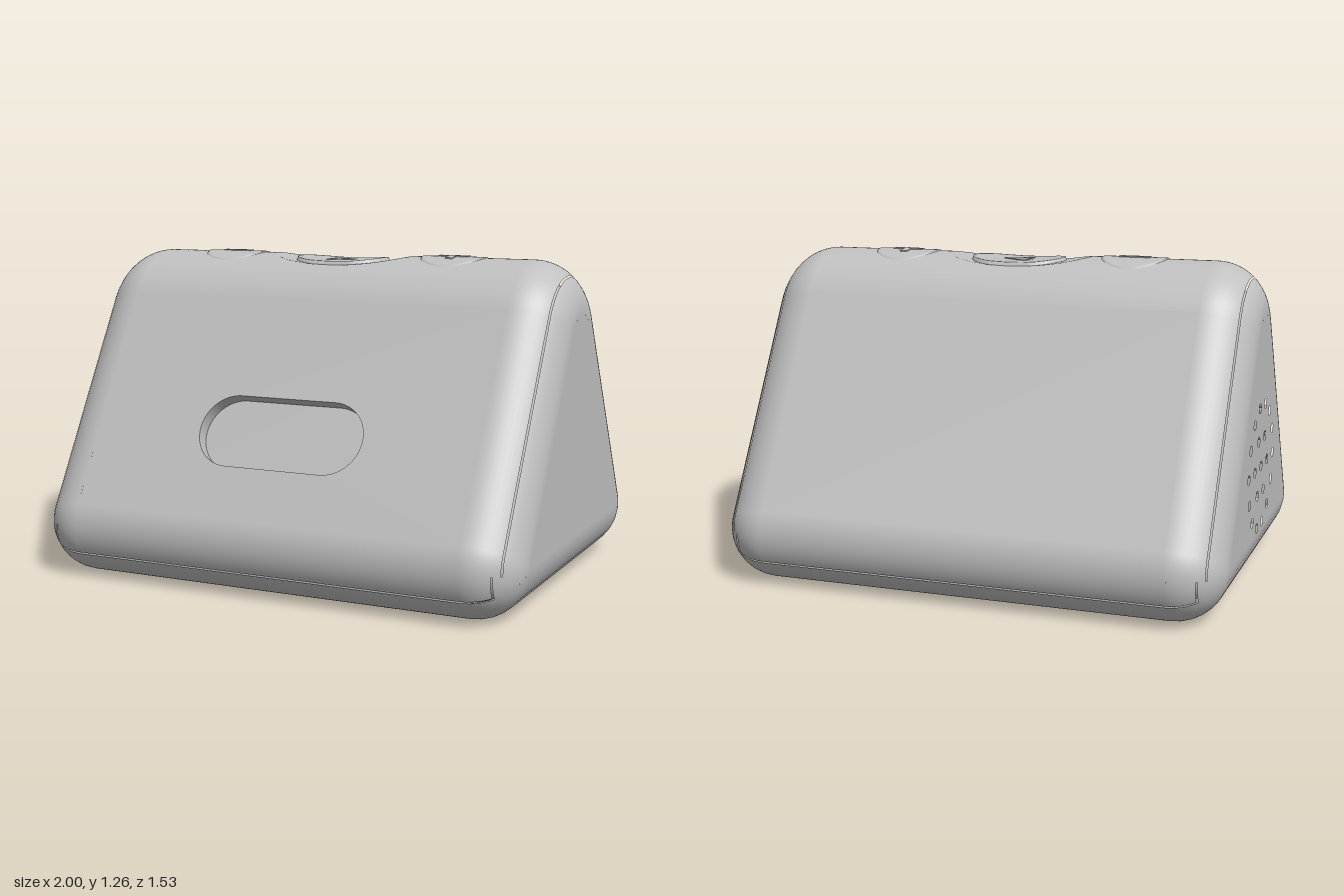
import * as THREE from 'three';

const F = 0.2;            // fillet radius around the two ends
const X0 = 0.8;           // half length before the fillet starts
const DEG = Math.PI / 180;
const corners = {         // rounded triangle profile in z, y
  top: { z: 0, y: 0.932, r: 0.323 },
  front: { z: 0.565, y: 0.2, r: 0.2 },
  back: { z: -0.565, y: 0.2, r: 0.2 },
};

// Profile samples on one corner; the angle runs from straight up towards the front
function arc(name, a, b, n = 16) {
  const c = corners[name], out = [];
  for (let i = 0; i <= n; i++) {
    const t = (a + (b - a) * i / n) * DEG;
    const nz = Math.sin(t), ny = Math.cos(t);
    out.push({ z: c.z + (c.r - F) * nz, y: c.y + (c.r - F) * ny, nz, ny });
  }
  return out;
}
const wholeProfile = () => [...arc('top', -60, 60), ...arc('front', 60, 180), ...arc('back', 180, 300), arc('top', -60, 60)[0]];

// Columns along x: one end fillet, or the whole length
function endCols(side, a, b, n = 8) {
  const out = [];
  for (let i = 0; i <= n; i++) out.push({ side, t: (a + (b - a) * i / n) * DEG });
  return side > 0 ? out : out.reverse();
}
function spanCols(t, mid = 1) {
  const out = endCols(-1, 0, t);
  for (let i = 1; i < mid; i++) out.push({ side: -1 + 2 * i / mid, t: 0 });
  return [...out, ...endCols(1, 0, t)];
}

// Scoop in the ridge around the middle button
const scoop = x => 1.22 + 0.035 * (x / 0.3) ** 2;
const ridge = (x, z) => Math.min(corners.top.y + Math.sqrt(corners.top.r ** 2 - z * z), scoop(x));

// Surface swept over profile samples and columns, set inwards by d
function patch(samples, cols, d = 0, scooped = false) {
  const pos = [], nor = [], idx = [], w = cols.length;
  for (const s of samples) for (const c of cols) {
    const k = Math.cos(c.t), x = c.side * X0 + Math.sign(c.side) * (F - d) * Math.sin(c.t);
    let y = s.y + s.ny * k * (F - d);
    let n = new THREE.Vector3(Math.sign(c.side) * Math.sin(c.t), s.ny * k, s.nz * k);
    if (scooped && Math.abs(x) < 0.3 && y > scoop(x)) {
      y = scoop(x);
      n = new THREE.Vector3(-0.07 * x / 0.09, 1, 0).normalize();
    }
    pos.push(x, y, s.z + s.nz * k * (F - d));
    nor.push(n.x, n.y, n.z);
  }
  for (let i = 0; i < samples.length - 1; i++) for (let j = 0; j < w - 1; j++) {
    const a = i * w + j, b = a + w;
    idx.push(a, b, a + 1, b, b + 1, a + 1);
  }
  const g = new THREE.BufferGeometry();
  g.setAttribute('position', new THREE.Float32BufferAttribute(pos, 3));
  g.setAttribute('normal', new THREE.Float32BufferAttribute(nor, 3));
  g.setIndex(idx);
  return g;
}

// Outlines for plates and cut-outs
function rect(x0, y0, x1, y1, P = THREE.Path) {
  return new P([[x0, y0], [x1, y0], [x1, y1], [x0, y1]].map(p => new THREE.Vector2(...p)));
}
function disc(x, y, r) {
  return new THREE.Path().absarc(x, y, r, 0, Math.PI * 2, true);
}
function stadium(x, y, half, r) {
  const p = new THREE.Path();
  p.absarc(x + half, y, r, -Math.PI / 2, Math.PI / 2, false);
  p.absarc(x - half, y, r, Math.PI / 2, Math.PI * 1.5, false);
  p.closePath();
  return p;
}
function plate(shape, holes, depth) {
  shape.holes.push(...holes);
  return new THREE.ExtrudeGeometry(shape, { depth, bevelEnabled: false, curveSegments: 16 });
}

// Lays a geometry modelled near y = 0 onto the ridge
function drape(g, cx, lift) {
  const p = g.attributes.position;
  for (let i = 0; i < p.count; i++) {
    const x = p.getX(i) + cx, z = p.getZ(i);
    p.setXYZ(i, x, ridge(x, z) + p.getY(i) + lift, z);
  }
  g.computeVertexNormals();
  return g;
}
function buttonGeo(cx, r, stretch, h) {
  const g = new THREE.RingGeometry(0, r, 48, 20).rotateX(-Math.PI / 2);
  const p = g.attributes.position;
  for (let i = 0; i < p.count; i++) {
    const x = p.getX(i), rim = Math.hypot(x, p.getZ(i)) > r - 1e-4;
    p.setX(i, x + (Math.abs(x) < 1e-5 ? 0 : Math.sign(x) * stretch));
    p.setY(i, rim ? -0.004 : h);
  }
  return drape(g, cx, 0);
}

export function createModel() {
  const model = new THREE.Group();
  const grey = new THREE.MeshStandardMaterial({ color: 0xc0c0c0 });
  grey.name = 'light grey plastic';
  const add = (name, geo, parent = model) => {
    const m = new THREE.Mesh(geo, grey);
    m.name = name;
    parent.add(m);
    return m;
  };
  const group = name => {
    const g = new THREE.Group();
    g.name = name;
    model.add(g);
    return g;
  };

  // Wrapping shell: ridge, back wall, front fillets and lower corners
  const shell = group('shell');
  add('ridge', patch(arc('top', -60, 60, 56), spanCols(45, 90), 0, true), shell);
  add('backWall', patch([...arc('back', 270, 300), arc('top', -60, 60)[0]], spanCols(45), 0), shell);
  add('backLip', patch(arc('back', 241, 270), spanCols(34)), shell);
  add('frontCorner', patch(arc('front', 60, 90), spanCols(45)), shell);
  add('frontLip', patch(arc('front', 90, 119), spanCols(34)), shell);
  const frontEdge = [arc('top', -60, 60).pop(), arc('front', 60, 180)[0]];
  for (const s of [-1, 1]) add('frontFillet', patch(frontEdge, endCols(s, 0, 45)), shell);

  // Front plate with its oblong pocket
  const [e0, e1] = frontEdge.map(s => ({ z: s.z + s.nz * F, y: s.y + s.ny * F }));
  const len = Math.hypot(e0.z - e1.z, e0.y - e1.y), midY = (e0.y + e1.y) / 2, midZ = (e0.z + e1.z) / 2;
  const pocket = stadium(0, (0.607 - midY) / 0.866, 0.2, 0.144);
  const front = add('frontPlate', plate(rect(-X0, -len / 2, X0, len / 2, THREE.Shape), [pocket], 0.055), shell);
  front.rotation.x = -Math.PI / 6;
  front.position.set(0, midY - 0.055 * 0.5, midZ - 0.055 * Math.cos(Math.PI / 6));

  // Base: bottom corners and fillets
  const base = group('base');
  add('baseFrontCorner', patch(arc('front', 121, 180), spanCols(90)), base);
  add('baseBackCorner', patch(arc('back', 180, 239), spanCols(90)), base);
  const bottomEdge = [arc('front', 60, 180).pop(), arc('back', 180, 300)[0]];

  // Speaker holes: centre, inner ring and outer ring
  const speaker = [disc(0, 0.46, 0.02)];
  for (const [n, r] of [[6, 0.125], [14, 0.245]]) {
    for (let i = 0; i < n; i++) {
      const a = (i + 0.5) / n * Math.PI * 2;
      speaker.push(disc(r * Math.sin(a), 0.46 + r * Math.cos(a), 0.02));
    }
  }
  const capShape = () => new THREE.Shape(wholeProfile().slice(0, -1).map(s => new THREE.Vector2(s.z, s.y)));

  // End panels, stepped in at the lower corners
  for (const s of [-1, 1]) {
    const cap = group(s > 0 ? 'leftEndPanel' : 'rightEndPanel');
    add('panelRim', patch([...arc('back', 270, 300), ...arc('top', -60, 60, 32), ...arc('front', 60, 90)], endCols(s, 47, 90)), cap);
    add('panelFrontStep', patch(arc('front', 90, 121), endCols(s, 36, 90)), cap);
    add('panelBackStep', patch(arc('back', 239, 270), endCols(s, 36, 90)), cap);
    add('bottomFillet', patch(bottomEdge, endCols(s, 0, 90)), cap);
    const face = add('panelFace', plate(capShape(), s < 0 ? speaker : [], 0.05), cap);
    face.rotation.y = s * Math.PI / 2;
    face.position.x = s * 0.95;
    const inner = add('innerFace', plate(capShape(), [], 0.01), cap);
    inner.rotation.y = s * Math.PI / 2;
    inner.position.x = s * 0.93;
  }

  // Underside with battery door, socket, slot and screw holes
  const holes = [rect(-0.53, -0.25, 0.6, 0.545), disc(0.72, 0.18, 0.055), rect(0.63, -0.1, 0.66, 0.06)];
  for (const x of [-0.77, 0.77]) for (const z of [-0.53, 0.53]) holes.push(disc(x, z, 0.02));
  const under = add('underside', plate(rect(-X0, -0.565, X0, 0.565, THREE.Shape), holes, 0.05), base);
  const door = add('batteryDoor', plate(rect(-0.523, -0.243, 0.593, 0.538, THREE.Shape), [], 0.05), base);
  for (const m of [under, door]) {
    m.rotation.x = Math.PI / 2;
    m.position.y = 0.05;
  }
  add('socketPin', new THREE.CylinderGeometry(0.025, 0.025, 0.05, 20), base).position.set(0.72, 0.04, 0.18);

  // Inner core seen through the seams
  add('core', patch(wholeProfile(), spanCols(90), 0.06));

  // Ridge buttons and their signs
  const buttons = group('buttons');
  add('minusButton', buttonGeo(-0.48, 0.135, 0, 0.004), buttons);
  add('plusButton', buttonGeo(0.48, 0.135, 0, 0.004), buttons);
  add('playButton', buttonGeo(0, 0.135, 0.06, 0.014), buttons);
  const bar = (name, cx, lift, x0, z0, x1, z1, w) => {
    const dx = x1 - x0, dz = z1 - z0;
    const g = new THREE.BoxGeometry(Math.hypot(dx, dz), 0.006, w, 10, 1, 4).toNonIndexed();
    g.rotateY(-Math.atan2(dz, dx)).translate((x0 + x1) / 2, 0, (z0 + z1) / 2);
    add(name, drape(g, cx, lift), buttons);
  };
  bar('minusSign', -0.48, 0.005, -0.062, 0, 0.062, 0, 0.03);
  bar('plusSign', 0.48, 0.005, -0.062, 0, 0.062, 0, 0.03);
  bar('plusSign', 0.48, 0.005, 0, -0.062, 0, 0.062, 0.03);
  const tri = [[-0.045, -0.055], [0.06, 0], [-0.045, 0.055]];
  tri.forEach((p, i) => bar('playSign', 0, 0.014, ...p, ...tri[(i + 1) % 3], 0.008));

  return model;
}
